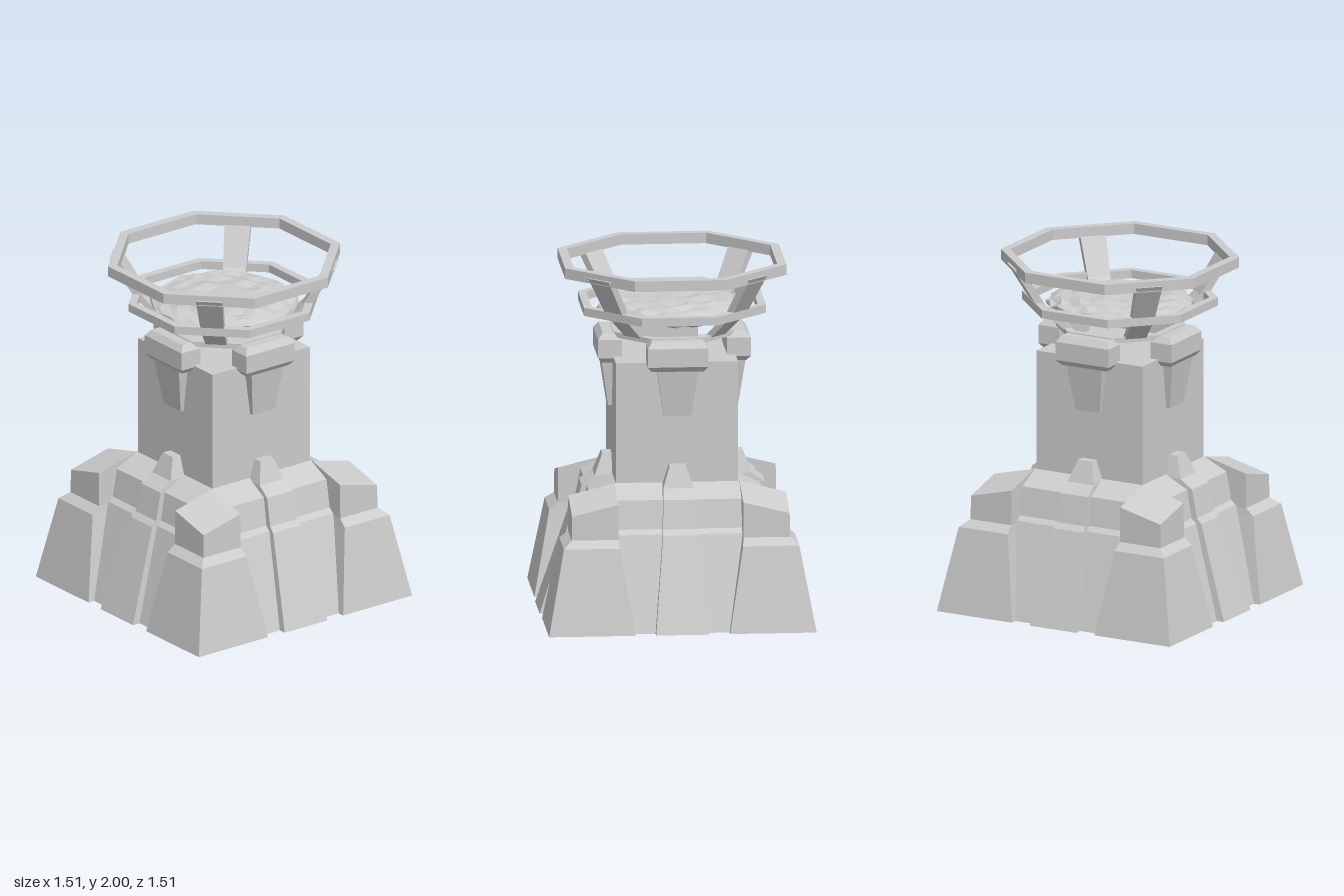
import * as THREE from 'three';

const material = new THREE.MeshStandardMaterial({ color: 0xcccccc, flatShading: true });

// rectangular cross-section, corners counter-clockwise from above
const rect = (y, x0, x1, z0, z1) => [[x0, y, z1], [x1, y, z1], [x1, y, z0], [x0, y, z0]];

// closed solid through a stack of four-cornered sections, bottom to top
function loft(sections) {
  const pos = [];
  const quad = (a, b, c, d) => pos.push(...a, ...b, ...c, ...a, ...c, ...d);
  for (let i = 0; i < sections.length - 1; i++) {
    const s = sections[i], t = sections[i + 1];
    for (let k = 0; k < 4; k++) {
      const n = (k + 1) % 4;
      quad(s[k], s[n], t[n], t[k]);
    }
  }
  const b = sections[0], t = sections[sections.length - 1];
  quad(b[3], b[2], b[1], b[0]);
  quad(t[0], t[1], t[2], t[3]);
  const g = new THREE.BufferGeometry();
  g.setAttribute('position', new THREE.Float32BufferAttribute(pos, 3));
  g.computeVertexNormals();
  return g;
}

// octagonal hoop with flat sides on the axes
function hoop(apothem, width, y0, y1) {
  const corners = (a) => Array.from({ length: 8 }, (_, i) => {
    const t = (i + 0.5) * Math.PI / 4, r = a / Math.cos(Math.PI / 8);
    return new THREE.Vector2(r * Math.cos(t), r * Math.sin(t));
  });
  const shape = new THREE.Shape(corners(apothem));
  shape.holes.push(new THREE.Path(corners(apothem - width)));
  const g = new THREE.ExtrudeGeometry(shape, { depth: y1 - y0, bevelEnabled: false });
  return g.rotateX(-Math.PI / 2).translate(0, y0, 0);
}

// flattened, uneven faceted slab
function rubble() {
  const g = new THREE.IcosahedronGeometry(1, 5);
  const p = g.attributes.position;
  const v = new THREE.Vector3();
  for (let i = 0; i < p.count; i++) {
    v.fromBufferAttribute(p, i);
    const n = Math.sin(v.x * 11 + v.z * 5 + 1) * Math.sin(v.z * 13 - v.x * 4 + v.y * 3);
    const edge = 1 + 0.035 * Math.sin(v.x * 9 + v.z * 14 + v.y * 4);
    const flat = Math.sign(v.y) * Math.pow(Math.abs(v.y), 0.7);
    const spread = Math.pow(Math.hypot(v.x, v.z) + 1e-6, -0.15);
    p.setXYZ(i, v.x * spread * 0.41 * edge, 1.715 + flat * 0.053 + n * 0.014, v.z * spread * 0.41 * edge);
  }
  g.computeVertexNormals();
  return g;
}

export function createModel() {
  const model = new THREE.Group();
  const add = (name, geometry, angle = 0) => {
    const mesh = new THREE.Mesh(geometry, material);
    mesh.name = name;
    mesh.rotation.y = angle;
    model.add(mesh);
  };

  // stepped sloping base
  const baseSteps = [[0, 0.71], [0.53, 0.545], [0.555, 0.515], [0.715, 0.485], [0.785, 0.34]];
  add('base', loft(baseSteps.map(([y, h]) => rect(y, -h, h, -h, h))));

  // tower shaft
  add('tower', new THREE.BoxGeometry(0.685, 0.72, 0.685).translate(0, 1.11, 0));

  // corner pier, its roof falling toward the outer corner
  const roof = rect(0, 0.35, 0.61, 0.35, 0.61).map(([x, , z]) => [x, 0.785 - 0.25 * (x + z - 0.7), z]);
  const pier = loft([
    rect(0, 0.265, 0.75, 0.265, 0.75),
    rect(0.48, 0.345, 0.66, 0.345, 0.66),
    rect(0.52, 0.35, 0.612, 0.35, 0.612),
    roof,
  ]);

  // tapering buttress in the middle of each side
  const buttress = loft([
    rect(0, -0.15, 0.15, 0.3, 0.755),
    rect(0.53, -0.097, 0.097, 0.3, 0.58),
    rect(0.56, -0.095, 0.095, 0.3, 0.55),
    rect(0.72, -0.09, 0.09, 0.3, 0.515),
    rect(0.77, -0.085, 0.085, 0.3, 0.44),
    rect(0.89, -0.045, 0.045, 0.3, 0.395),
  ]);

  // clamp block at the tower rim and the wedge hanging from it
  const clamp = loft([
    rect(1.43, -0.145, 0.145, 0.3, 0.405),
    rect(1.46, -0.17, 0.17, 0.295, 0.428),
    rect(1.565, -0.17, 0.17, 0.295, 0.428),
    rect(1.6, -0.145, 0.145, 0.3, 0.4),
  ]);
  const wedge = loft([
    rect(1.17, -0.078, 0.078, 0.33, 0.365),
    rect(1.44, -0.115, 0.115, 0.33, 0.405),
  ]);

  // bent diagonal strut joining the hoops
  const strut = loft([[1.59, 0.31, 0.06], [1.74, 0.47, 0.065], [1.97, 0.61, 0.075]]
    .map(([y, r, w]) => rect(y, -w, w, r - 0.025, r + 0.025)));

  for (let i = 0; i < 4; i++) {
    const a = i * Math.PI / 2;
    add('cornerPier', pier, a);
    add('buttress', buttress, a);
    add('clampBlock', clamp, a);
    add('clampWedge', wedge, a);
    add('strut', strut, a + Math.PI / 4);
  }

  // three widening hoops
  add('lowerHoop', hoop(0.34, 0.045, 1.575, 1.605));
  add('middleHoop', hoop(0.51, 0.045, 1.715, 1.762));
  add('upperHoop', hoop(0.62, 0.05, 1.94, 2.0));

  // rough mass held inside the hoops
  add('rubble', rubble());
  return model;
}
